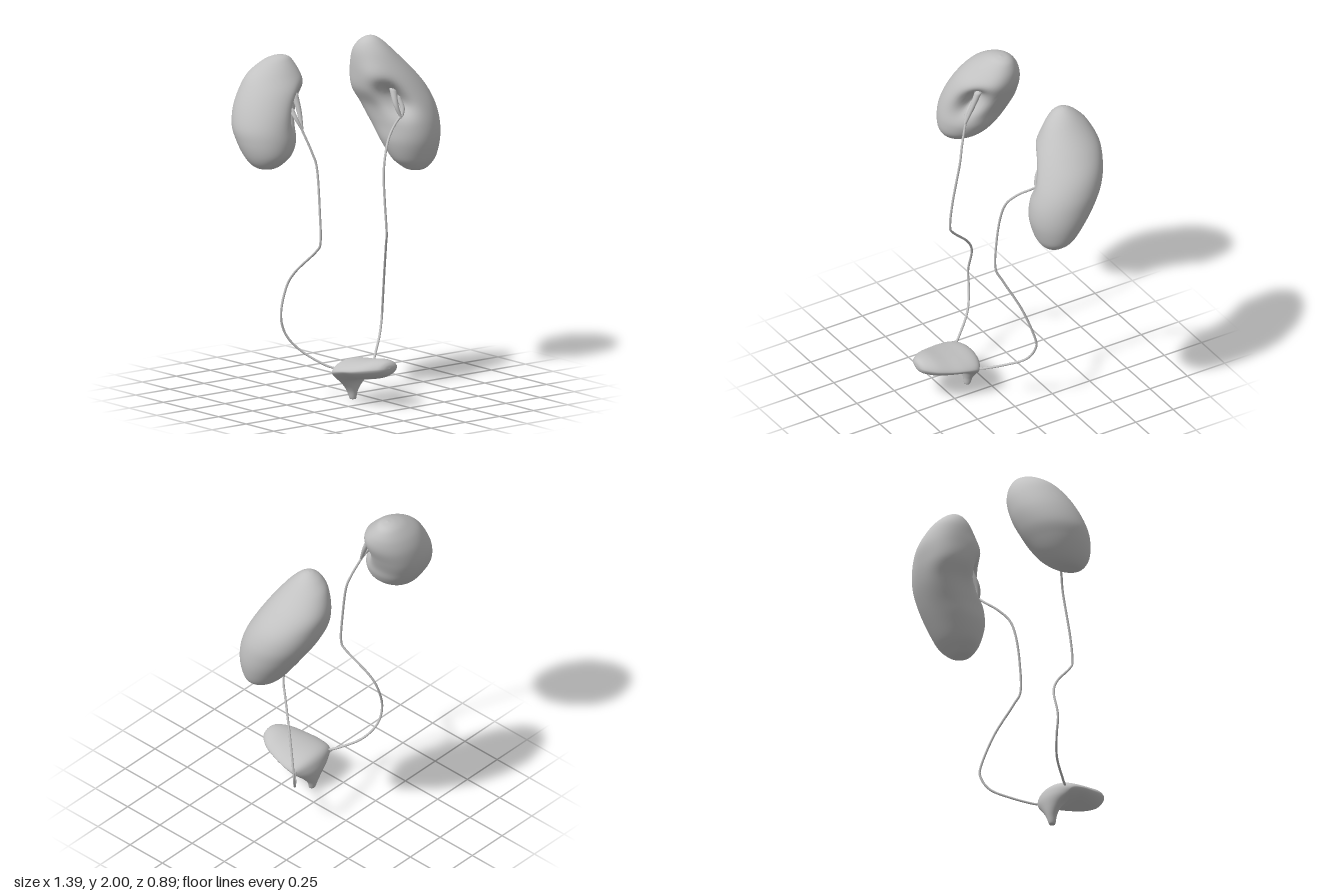
import * as THREE from 'three';

const tissue = new THREE.MeshStandardMaterial({ color: 0xc2c2c2 });
tissue.name = 'tissueGrey';

// Closed smooth skin from rings: point(t, angle) for t in 0..1
function loft(name, point, rings, sides) {
  const pos = [], index = [];
  for (let i = 0; i <= rings; i++) {
    for (let j = 0; j < sides; j++) {
      pos.push(...point(i / rings, (j / sides) * Math.PI * 2));
      if (i === rings) continue;
      const k = (j + 1) % sides;
      const a = i * sides + j, b = i * sides + k;
      index.push(a, a + sides, b, b, a + sides, b + sides);
    }
  }
  const geo = new THREE.BufferGeometry();
  geo.setAttribute('position', new THREE.Float32BufferAttribute(pos, 3));
  geo.setIndex(index);
  geo.computeVertexNormals();
  const mesh = new THREE.Mesh(geo, tissue);
  mesh.name = name;
  return mesh;
}

const spline = (points) =>
  new THREE.CatmullRomCurve3(points.map((p) => new THREE.Vector3(...p)), false, 'catmullrom', 0.5);

// Bean body from level extents [y, xMin, xMax, zMin, zMax],
// shaped by lumps [dirX, dirZ, y, amount, angleWidth, yWidth]; negative amounts dent
function kidney(name, levels, lumps) {
  const centre = spline(levels.map(([y, a, b, c, d]) => [(a + b) / 2, y, (c + d) / 2]));
  const size = spline(levels.map(([, a, b, c, d]) => [(b - a) / 2, 0, (d - c) / 2]));
  return loft(name, (t, a) => {
    const c = centre.getPoint(t), s = size.getPoint(t);
    let k = 1;
    for (const [dx, dz, y, amount, aw, yw] of lumps) {
      const d = a - Math.atan2(dz, dx);
      const off = Math.atan2(Math.sin(d), Math.cos(d)) / aw;
      k += amount * Math.exp(-off * off - ((c.y - y) / yw) ** 2);
    }
    return [
      c.x + Math.max(s.x, 0) * Math.cos(a) * k,
      c.y,
      c.z + Math.max(s.z, 0) * Math.sin(a) * k,
    ];
  }, 72, 64);
}

function tube(name, points, radius) {
  const mesh = new THREE.Mesh(
    new THREE.TubeGeometry(spline(points), points.length * 8, radius, 10), tissue);
  mesh.name = name;
  return mesh;
}

// Short duct that widens into the hilum
function calyx(name, points, r0, r1) {
  const path = spline(points);
  return loft(name, (t, a) => {
    const p = path.getPoint(t), r = t > 0.99 ? 0 : r0 + (r1 - r0) * t;
    return [p.x + r * Math.cos(a), p.y, p.z + r * Math.sin(a)];
  }, 16, 16);
}

// Bladder rings [x, y, z, halfWidth, halfThickness, tilt], neck to front tip
function bladder() {
  const rings = [
    [-0.1, 0, 0.105, 0, 0, 0],
    [-0.1, 0.001, 0.105, 0.019, 0.017, 0],
    [-0.1, 0.05, 0.1, 0.038, 0.028, 0],
    [-0.1, 0.1, 0.1, 0.078, 0.04, 0.1],
    [-0.105, 0.145, 0.107, 0.13, 0.056, 0.48],
    [-0.108, 0.178, 0.127, 0.16, 0.066, 0.98],
    [-0.108, 0.195, 0.2, 0.16, 0.056, 1.4],
    [-0.108, 0.205, 0.28, 0.143, 0.056, 1.48],
    [-0.105, 0.219, 0.36, 0.115, 0.056, 1.57],
    [-0.103, 0.228, 0.415, 0.076, 0.043, 1.57],
    [-0.102, 0.231, 0.437, 0.042, 0.024, 1.57],
    [-0.102, 0.232, 0.443, 0, 0, 1.57],
  ];
  const centre = spline(rings.map((r) => r.slice(0, 3)));
  const shape = spline(rings.map((r) => r.slice(3)));
  return loft('bladder', (t, a) => {
    const c = centre.getPoint(t), s = shape.getPoint(t);
    const w = Math.max(s.x, 0) * Math.cos(a);
    const h = Math.max(s.y, 0) * Math.sin(a) * Math.abs(Math.sin(a)) ** 0.25;
    return [c.x + w, Math.max(0, c.y - h * Math.sin(s.z)), c.z + h * Math.cos(s.z)];
  }, 66, 48);
}

export function createModel() {
  const model = new THREE.Group();
  model.name = 'urinarySystem';

  // Lumps: hilum dent, upper lobe, full back edge
  model.add(kidney('leftKidney', [
    [1.22, 0.52, 0.52, -0.08, -0.08],
    [1.228, 0.465, 0.565, -0.125, -0.04],
    [1.25, 0.425, 0.605, -0.16, -0.015],
    [1.3, 0.375, 0.65, -0.215, 0.012],
    [1.4, 0.335, 0.682, -0.285, 0.036],
    [1.5, 0.325, 0.693, -0.345, 0.032],
    [1.6, 0.305, 0.686, -0.395, 0.005],
    [1.7, 0.25, 0.65, -0.43, -0.035],
    [1.8, 0.238, 0.575, -0.442, -0.085],
    [1.9, 0.24, 0.475, -0.405, -0.145],
    [1.96, 0.262, 0.412, -0.352, -0.195],
    [1.991, 0.298, 0.366, -0.305, -0.236],
    [2, 0.333, 0.333, -0.27, -0.27],
  ], [
    [-0.68, 0.73, 1.655, -0.56, 0.38, 0.08],
    [-0.8, 0.6, 1.79, 0.12, 0.5, 0.08],
    [-0.7, -0.7, 1.6, 0.2, 0.5, 0.17],
  ]));

  model.add(kidney('rightKidney', [
    [1.365, -0.56, -0.56, -0.12, -0.12],
    [1.373, -0.608, -0.51, -0.175, -0.06],
    [1.4, -0.642, -0.455, -0.23, -0.02],
    [1.45, -0.67, -0.395, -0.285, 0.012],
    [1.52, -0.69, -0.355, -0.335, 0.02],
    [1.6, -0.695, -0.33, -0.38, 0.01],
    [1.7, -0.665, -0.285, -0.41, -0.015],
    [1.8, -0.612, -0.242, -0.412, -0.058],
    [1.88, -0.55, -0.238, -0.39, -0.125],
    [1.94, -0.46, -0.258, -0.35, -0.185],
    [1.968, -0.39, -0.288, -0.312, -0.222],
    [1.978, -0.335, -0.335, -0.265, -0.265],
  ], [
    [0.68, 0.73, 1.7, -0.56, 0.38, 0.09],
    [0.8, 0.6, 1.84, 0.08, 0.5, 0.07],
    [0.7, -0.7, 1.62, 0.1, 0.5, 0.15],
  ]));

  model.add(bladder());

  // Ureters from the bladder corners up to each hilum
  model.add(tube('leftUreter', [
    [0.02, 0.175, 0.12], [0.06, 0.185, 0.09], [0.15, 0.23, 0.005], [0.24, 0.29, -0.075],
    [0.285, 0.37, -0.112], [0.29, 0.45, -0.11], [0.25, 0.65, -0.045], [0.19, 0.84, 0.045],
    [0.167, 0.93, 0.08], [0.162, 1.1, 0.07], [0.17, 1.26, 0.05], [0.2, 1.37, 0.028],
    [0.26, 1.45, -0.015], [0.33, 1.51, -0.05], [0.39, 1.56, -0.06],
  ], 0.0068));
  model.add(tube('rightUreter', [
    [-0.23, 0.195, 0.1], [-0.27, 0.215, 0.05], [-0.35, 0.285, -0.05], [-0.42, 0.38, -0.105],
    [-0.448, 0.5, -0.117], [-0.41, 0.65, -0.118], [-0.38, 0.75, -0.07], [-0.33, 0.88, 0.055],
    [-0.32, 0.94, 0.083], [-0.314, 1.1, 0.07], [-0.302, 1.35, 0.03], [-0.32, 1.45, 0.005],
    [-0.35, 1.56, -0.035], [-0.37, 1.63, -0.065],
  ], 0.0068));

  // Ducts branching inside each hilum
  model.add(calyx('leftUpperDuct', [[0.385, 1.54, -0.055], [0.365, 1.62, -0.08], [0.38, 1.72, -0.13]], 0.008, 0.022));
  model.add(calyx('leftLowerDuct', [[0.385, 1.54, -0.055], [0.405, 1.6, -0.07], [0.4, 1.67, -0.12]], 0.008, 0.018));
  model.add(calyx('rightUpperDuct', [[-0.355, 1.58, -0.04], [-0.345, 1.68, -0.08], [-0.345, 1.79, -0.13]], 0.008, 0.022));
  model.add(calyx('rightLowerDuct', [[-0.355, 1.58, -0.04], [-0.375, 1.64, -0.07], [-0.38, 1.7, -0.12]], 0.008, 0.018));

  return model;
}
